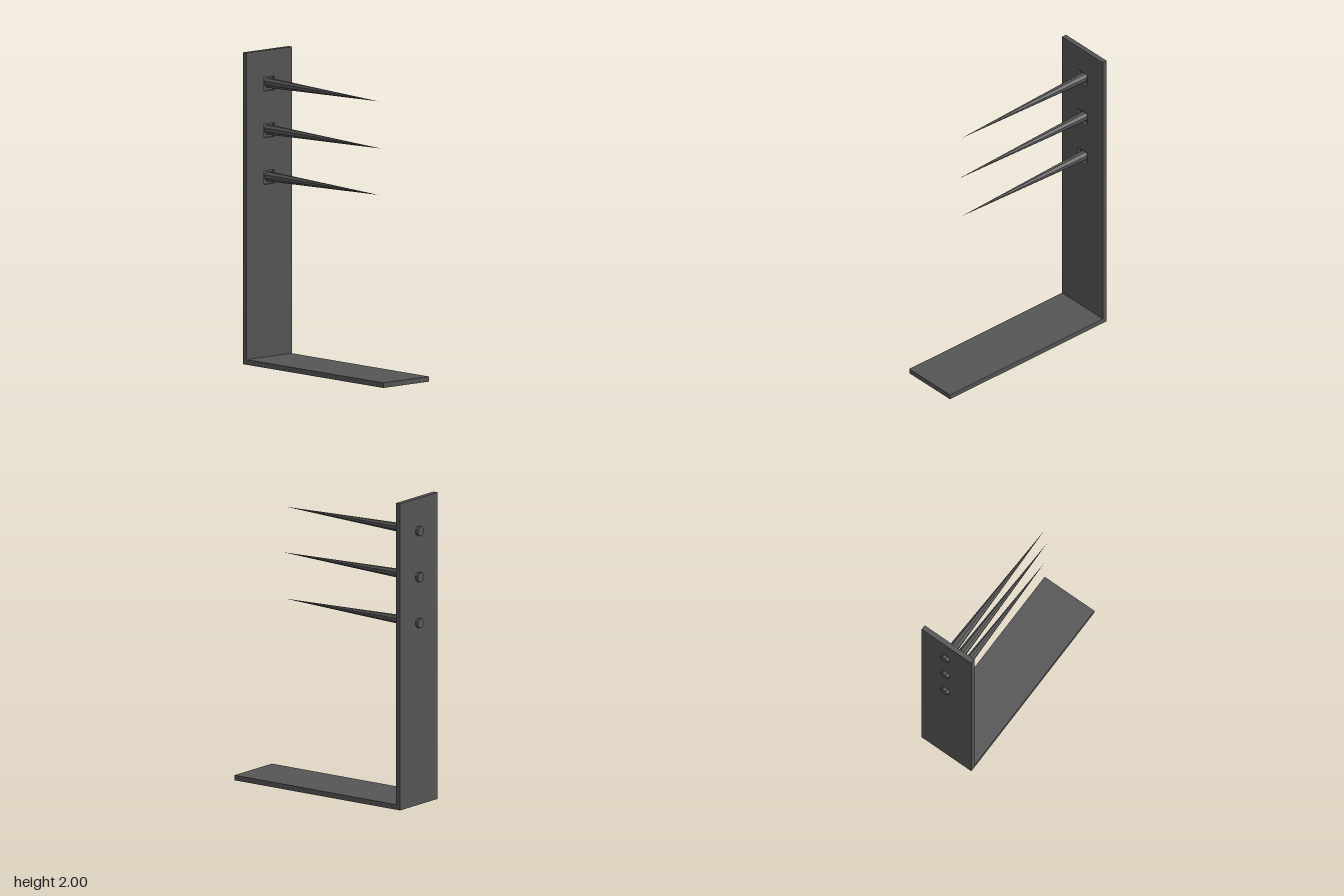
import * as THREE from 'three';

export function createModel() {
  const model = new THREE.Group();
  const material = new THREE.MeshStandardMaterial({ color: 0x555555, flatShading: true });

  const add = (name, geometry, x, y, z) => {
    const mesh = new THREE.Mesh(geometry, material);
    mesh.name = name;
    mesh.position.set(x, y, z);
    model.add(mesh);
    return mesh;
  };

  const depth = 0.39, back = -0.652, inner = -0.619, split = -0.637;
  const spikes = [
    { y: 1.187, tip: 0.405 },
    { y: 1.487, tip: 0.435 },
    { y: 1.787, tip: 0.405 },
  ];

  // Flat foot running out under the spikes
  add('base', new THREE.BoxGeometry(0.672 - inner, 0.033, depth), (0.672 + inner) / 2, 0.0165, 0);

  // Upright: solid back layer, and a front layer with square pockets
  add('uprightBack', new THREE.BoxGeometry(split - back, 2, depth), (split + back) / 2, 1, 0);

  const panel = new THREE.Shape();
  panel.moveTo(-depth / 2, 0).lineTo(depth / 2, 0).lineTo(depth / 2, 2).lineTo(-depth / 2, 2).closePath();
  const h = 0.044;
  for (const { y } of spikes) {
    const cy = y - 0.003;
    const pocket = new THREE.Path();
    pocket.moveTo(-h, cy - h).lineTo(-h, cy + h).lineTo(h, cy + h).lineTo(h, cy - h).closePath();
    panel.holes.push(pocket);
  }
  const front = new THREE.ExtrudeGeometry(panel, { depth: inner - split, bevelEnabled: false });
  front.rotateY(Math.PI / 2);
  add('uprightFront', front, split, 0, 0);

  // Eight-sided spikes: a short straight stub through the upright, then a long taper
  const start = -0.672, r = 0.0325;
  for (const { y, tip } of spikes) {
    const profile = [
      new THREE.Vector2(0, 0),
      new THREE.Vector2(r, 0),
      new THREE.Vector2(r, inner - start),
      new THREE.Vector2(0, tip - start),
    ];
    const spike = new THREE.LatheGeometry(profile, 8, Math.PI / 8);
    spike.rotateZ(-Math.PI / 2);
    add('spike', spike, start, y, -0.004);
  }

  return model;
}
